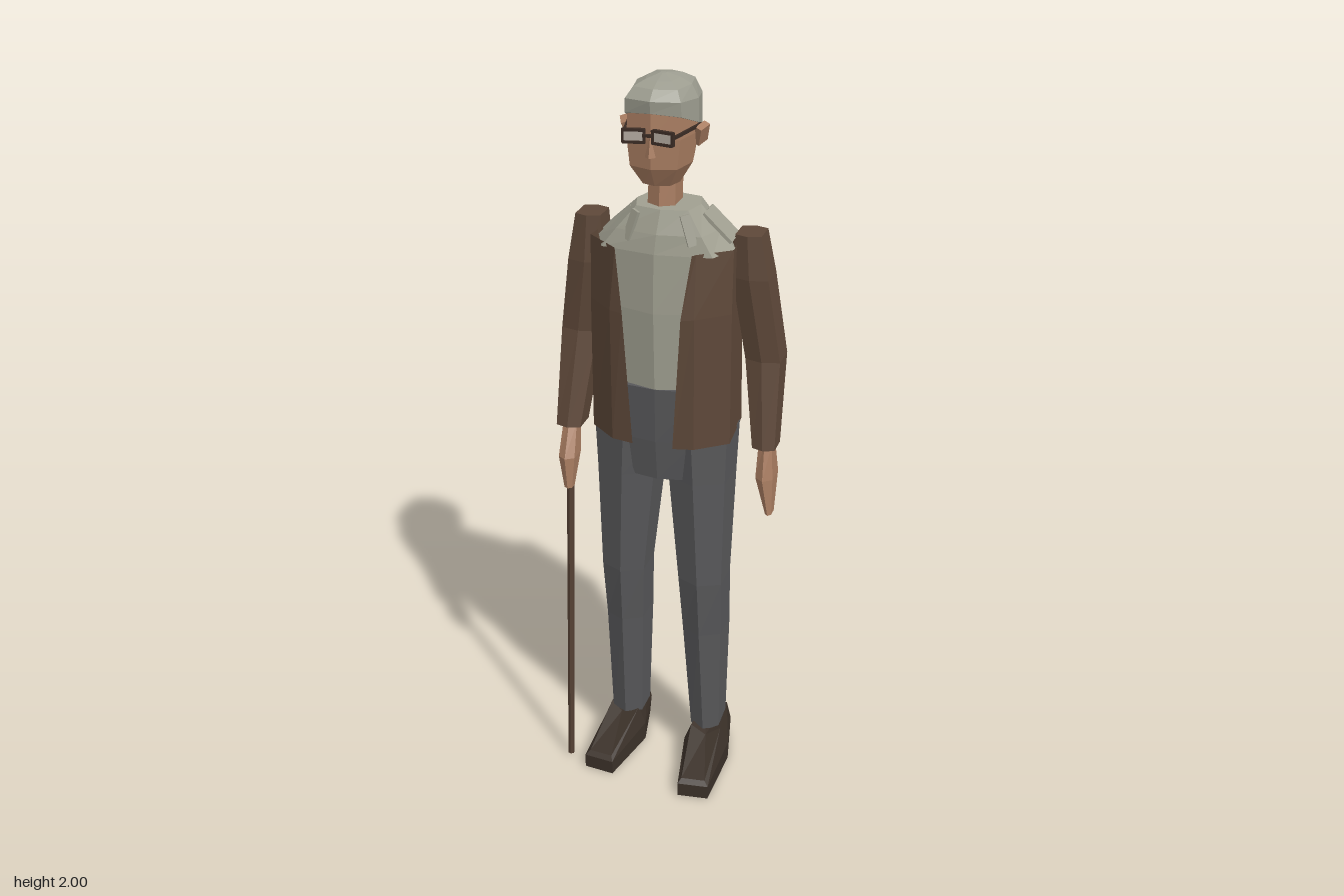
import * as THREE from 'three';

const mat = (name, color, side = THREE.FrontSide) => {
  const m = new THREE.MeshStandardMaterial({ color, flatShading: true, side });
  m.name = name;
  return m;
};

// Skin through rings ordered bottom to top, each counterclockwise from above
function loft(rings, closed = true) {
  const pos = [];
  const tri = (a, b, c) => pos.push(...a, ...b, ...c);
  const n = rings[0].length;
  for (let r = 0; r < rings.length - 1; r++) {
    const a = rings[r], b = rings[r + 1];
    for (let i = 0; i < (closed ? n : n - 1); i++) {
      const j = (i + 1) % n;
      tri(a[i], a[j], b[j]);
      tri(a[i], b[j], b[i]);
    }
  }
  if (closed) {
    const cap = (ring, up) => {
      const c = [0, 1, 2].map(k => ring.reduce((s, p) => s + p[k], 0) / n);
      ring.forEach((p, i) => {
        const q = ring[(i + 1) % n];
        up ? tri(c, p, q) : tri(c, q, p);
      });
    };
    cap(rings[0], false);
    cap(rings[rings.length - 1], true);
  }
  const g = new THREE.BufferGeometry();
  g.setAttribute('position', new THREE.Float32BufferAttribute(pos, 3));
  g.computeVertexNormals();
  return g;
}

// Six-sided ring from bounds, with flat outer sides
const hex = ([y, x0, x1, zb, zf], k = 0.62) => {
  const cx = (x0 + x1) / 2, cz = (zb + zf) / 2, h = (zf - zb) / 2 * k;
  return [[cx, y, zf], [x1, y, cz + h], [x1, y, cz - h], [cx, y, zb], [x0, y, cz - h], [x0, y, cz + h]];
};

// Eight-sided ring; front and back may have different heights
const oct = ([yf, yb, cx, hw, zb, zf], d = 0.8) => {
  const cz = (zb + zf) / 2, hz = (zf - zb) / 2;
  return [[0, 1], [d, d], [1, 0], [d, -d], [0, -1], [-d, -d], [-1, 0], [-d, d]]
    .map(([u, v]) => [cx + u * hw, (yf + yb) / 2 + v * (yf - yb) / 2, cz + v * hz]);
};

export function createModel() {
  const group = new THREE.Group();
  const skin = mat('skin', 0xa97d61);
  const hairGrey = mat('hair grey', 0x9d9d90);
  const shirtGrey = mat('shirt grey', 0xa09f90);
  const jacketBrown = mat('jacket brown', 0x5e4839, THREE.DoubleSide);
  const trouserGrey = mat('trouser grey', 0x58585a);
  const shoeBrown = mat('shoe brown', 0x3b3129);
  const frameBrown = mat('frame brown', 0x3a2b24);
  const lensGrey = mat('lens grey', 0xb4aaa0);
  const caneBrown = mat('cane brown', 0x523e31);

  const add = (name, geometry, material) => {
    const m = new THREE.Mesh(geometry, material);
    m.name = name;
    group.add(m);
    return m;
  };
  const box = (name, material, size, at, rot = [0, 0, 0]) => {
    const m = add(name, new THREE.BoxGeometry(...size), material);
    m.position.set(...at);
    m.rotation.set(...rot);
  };
  const limb = (name, material, rows, k) => add(name, loft(rows.map(r => hex(r, k))), material);

  // Head, neck and hair
  add('head', loft([
    [1.735, 1.725, -0.01, 0.045, -0.08, 0.055], [1.785, 1.785, -0.01, 0.078, -0.105, 0.085],
    [1.86, 1.86, -0.01, 0.088, -0.124, 0.088], [1.94, 1.94, -0.01, 0.084, -0.12, 0.083],
  ].map(r => oct(r, 0.78))), skin);
  limb('neck', skin, [[1.64, -0.048, 0.025, -0.09, 0.02], [1.76, -0.045, 0.025, -0.09, 0.012]]);
  add('hair', loft([
    [1.925, 1.84, -0.01, 0.09, -0.13, 0.088], [1.955, 1.93, -0.01, 0.088, -0.137, 0.092],
    [1.978, 1.972, -0.01, 0.07, -0.115, 0.066], [1.99, 1.99, -0.01, 0.042, -0.08, 0.035],
    [2, 2, -0.01, 0.008, -0.025, -0.01],
  ].map(r => oct(r, 0.8))), hairGrey);
  const nose = add('nose', new THREE.ConeGeometry(0.014, 0.055, 4), skin);
  nose.position.set(-0.01, 1.845, 0.088);

  // Ears and glasses, mirrored about the head centre
  for (const s of [-1, 1]) {
    const x = d => -0.01 + s * d;
    box('ear', skin, [0.018, 0.05, 0.035], [x(0.096), 1.855, -0.022], [0.3, s * -0.4, s * -0.25]);
    for (const dy of [-0.015, 0.015])
      box('glassesRim', frameBrown, [0.054, 0.007, 0.01], [x(0.037), 1.873 + dy, 0.104], [0, s * -0.2, 0]);
    for (const d of [0.011, 0.063])
      box('glassesRimSide', frameBrown, [0.006, 0.034, 0.01], [x(d), 1.873, 0.099 + d * 0.15], [0, s * -0.2, 0]);
    box('lens', lensGrey, [0.048, 0.026, 0.004], [x(0.037), 1.873, 0.104], [0, s * -0.2, 0]);
    box('glassesTemple', frameBrown, [0.006, 0.008, 0.135], [x(0.079), 1.876, 0.035], [0, s * -0.2, 0]);
  }
  box('glassesBridge', frameBrown, [0.024, 0.007, 0.008], [-0.01, 1.878, 0.111]);

  // Shirt body, sloping shoulders and collar flaps
  add('shirt', loft([
    [1.18, 1.18, -0.01, 0.155, -0.14, 0.06], [1.4, 1.4, -0.01, 0.16, -0.13, 0.07], [1.57, 1.57, -0.01, 0.165, -0.115, 0.066],
  ].map(r => oct(r, 0.7))), shirtGrey);
  add('shirtShoulders', loft([
    [1.56, 1.56, -0.008, 0.183, -0.138, 0.068], [1.61, 1.61, -0.005, 0.14, -0.127, 0.06], [1.67, 1.67, 0, 0.085, -0.105, 0.04],
  ].map(r => oct(r, 0.8))), shirtGrey);
  for (const s of [-1, 1]) {
    box('collarFlap', shirtGrey, [0.024, 0.08, 0.009], [s * 0.075, 1.625, 0.045], [-0.25, s * 0.5, s * 0.35]);
    box('shoulderFlap', shirtGrey, [0.1, 0.009, 0.075], [s * 0.132, 1.617, -0.05], [0, 0, s * -0.75]);
  }

  // Open jacket, running from one front edge round the back to the other
  const jacketRing = ([y, right, left, zFront, zSide, zCorner, zBack]) => [
    [left, y, zFront], [0.1, y, zFront - 0.012], [0.18, y, zSide], [0.168, y, zCorner], [-0.01, y, zBack],
    [-0.185, y, zCorner], [-0.2, y, zSide], [-0.125, y, zFront - 0.012], [right, y, zFront],
  ];
  add('jacket', loft([
    [1.03, -0.065, 0.045, 0.08, 0.005, -0.155, -0.198], [1.4, -0.088, 0.068, 0.088, 0.008, -0.135, -0.17],
    [1.57, -0.11, 0.092, 0.073, 0, -0.118, -0.147],
  ].map(jacketRing), false), jacketBrown);

  // Sleeves and hands, slightly different on each side
  limb('leftSleeve', jacketBrown, [
    [1.015, 0.235, 0.296, -0.087, -0.008], [1.25, 0.2, 0.293, -0.15, -0.048],
    [1.48, 0.165, 0.26, -0.135, -0.03], [1.595, 0.17, 0.238, -0.125, -0.035],
  ], 0.75);
  limb('rightSleeve', jacketBrown, [
    [1.02, -0.303, -0.235, -0.06, 0.028], [1.28, -0.304, -0.205, -0.132, -0.035],
    [1.48, -0.278, -0.18, -0.13, -0.025], [1.605, -0.258, -0.19, -0.125, -0.035],
  ], 0.75);
  limb('leftHand', skin, [
    [0.825, 0.277, 0.294, -0.05, -0.004], [0.93, 0.247, 0.294, -0.095, 0.004], [1.03, 0.25, 0.286, -0.072, -0.02],
  ]);
  limb('rightHand', skin, [
    [0.85, -0.272, -0.25, 0.025, 0.058], [0.94, -0.288, -0.243, -0.02, 0.062], [1.03, -0.286, -0.248, -0.035, 0.018],
  ]);

  // Walking cane
  const foot = new THREE.Vector3(-0.25, 0.004, 0.115), grip = new THREE.Vector3(-0.266, 0.96, 0.012);
  const dir = grip.clone().sub(foot);
  const cane = add('cane', new THREE.CylinderGeometry(0.011, 0.009, dir.length(), 6), caneBrown);
  cane.position.copy(foot).add(grip).multiplyScalar(0.5);
  cane.quaternion.setFromUnitVectors(new THREE.Vector3(0, 1, 0), dir.normalize());

  // Trousers
  add('trouserSeat', loft([
    [0.915, 0.915, -0.008, 0.078, -0.12, 0.045], [1.03, 1.03, -0.01, 0.12, -0.15, 0.055], [1.185, 1.185, -0.01, 0.157, -0.142, 0.061],
  ].map(r => oct(r, 0.85))), trouserGrey);
  limb('rightLeg', trouserGrey, [
    [0.1, -0.165, -0.077, -0.118, 0.002], [0.43, -0.174, -0.068, -0.13, 0.02], [0.6, -0.18, -0.06, -0.112, 0.035],
    [0.91, -0.188, -0.03, -0.145, 0.045], [1.04, -0.193, -0.012, -0.16, 0.05],
  ]);
  limb('leftLeg', trouserGrey, [
    [0.1, 0.077, 0.16, -0.1, 0.014], [0.43, 0.055, 0.164, -0.118, 0.035], [0.6, 0.045, 0.167, -0.1, 0.048],
    [0.91, 0.014, 0.17, -0.145, 0.048], [1.04, 0, 0.173, -0.16, 0.05],
  ]);

  // Shoes: sole, widest line and sloping upper
  const shoe = (name, s, x, dz) => {
    const ring = rows => {
      const pts = rows.map(([u, y, z]) => [x + s * u, y, z + dz]);
      return s > 0 ? pts : pts.reverse();
    };
    add(name, loft([
      ring([[-0.025, 0, 0.168], [0.06, 0, 0.158], [0.063, 0, -0.04], [0.035, 0, -0.15], [-0.035, 0, -0.15], [-0.063, 0, -0.02]]),
      ring([[-0.025, 0.04, 0.168], [0.06, 0.04, 0.158], [0.063, 0.055, -0.04], [0.04, 0.06, -0.15], [-0.04, 0.06, -0.15], [-0.063, 0.055, -0.02]]),
      ring([[-0.018, 0.052, 0.155], [0.048, 0.052, 0.148], [0.042, 0.108, -0.03], [0.03, 0.12, -0.14], [-0.03, 0.12, -0.14], [-0.043, 0.108, -0.02]]),
    ]), shoeBrown);
  };
  shoe('rightShoe', -1, -0.13, 0);
  shoe('leftShoe', 1, 0.127, 0.035);

  return group;
}
